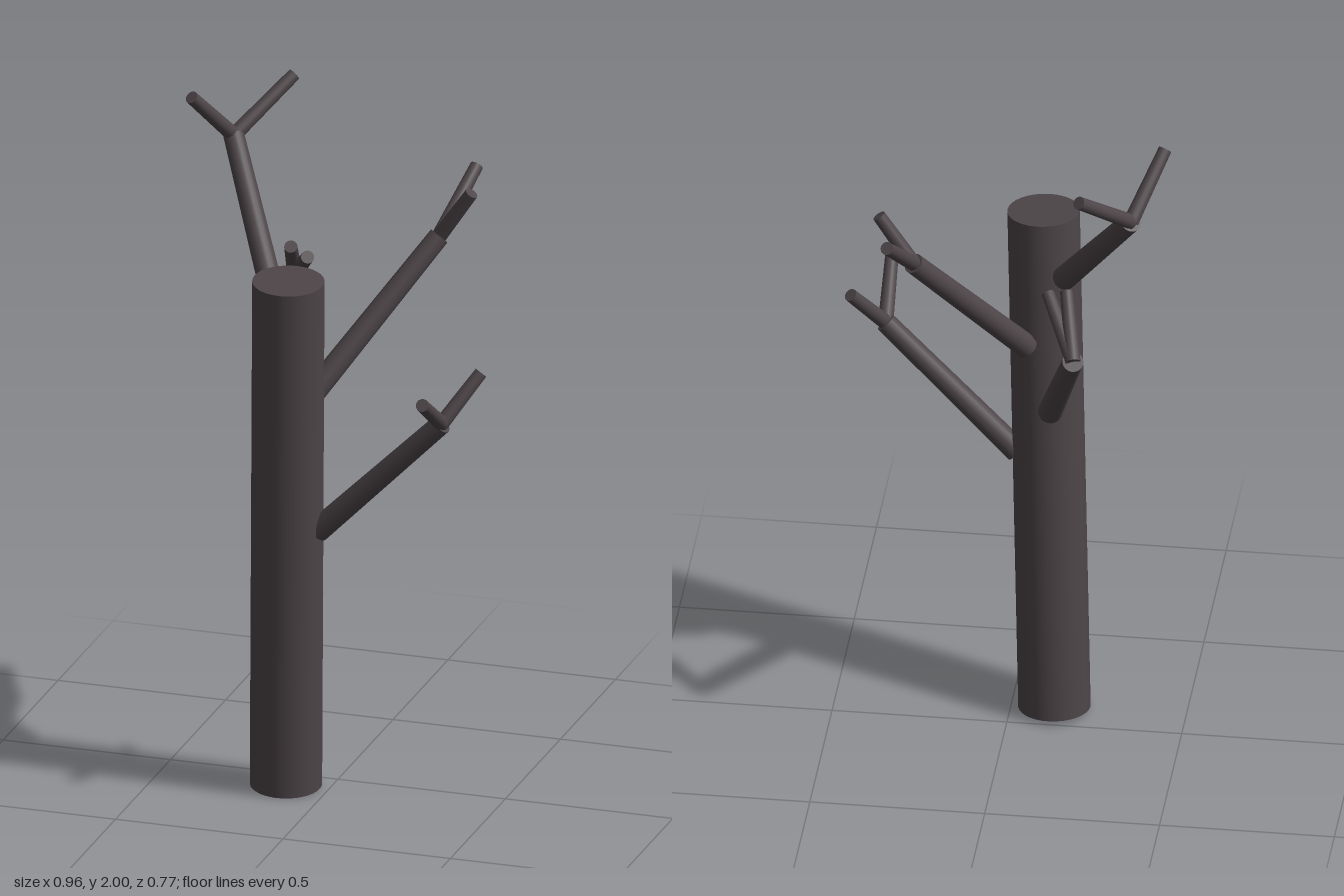
import * as THREE from 'three';

// Capped, slightly tapered limb running between two points
function limb(name, from, to, r0, r1, sides, material) {
  const a = new THREE.Vector3(...from);
  const b = new THREE.Vector3(...to);
  const dir = b.clone().sub(a);
  const mesh = new THREE.Mesh(new THREE.CylinderGeometry(r1, r0, dir.length(), sides), material);
  mesh.name = name;
  mesh.position.copy(a).add(b).multiplyScalar(0.5);
  mesh.quaternion.setFromUnitVectors(new THREE.Vector3(0, 1, 0), dir.normalize());
  return mesh;
}

export function createModel() {
  const tree = new THREE.Group();
  tree.name = 'deadTree';
  const bark = new THREE.MeshStandardMaterial({ color: 0x4d4548 });
  bark.name = 'dark bark';

  // Leaning trunk
  tree.add(limb('trunk', [-0.124, 0.008, 0.095], [-0.078, 1.58, 0.213], 0.103, 0.103, 32, bark));

  // Each branch: base on the trunk, fork point, and the tips of its two twigs
  const branches = [
    { name: 'lowLeftBranch', base: [-0.01, 0.81, 0.155], fork: [0.37, 1.19, 0.185],
      tips: [[0.375, 1.315, 0.375], [0.46, 1.325, 0.1]] },
    { name: 'backBranch', base: [-0.115, 1.0, 0.07], fork: [-0.227, 1.4, -0.3],
      tips: [[-0.19, 1.54, -0.15], [-0.135, 1.52, -0.135]] },
    { name: 'backLeftBranch', base: [-0.045, 1.2, 0.09], fork: [0.245, 1.615, -0.175],
      tips: [[0.298, 1.77, -0.355], [0.345, 1.76, -0.165]] },
    { name: 'highRightBranch', base: [-0.153, 1.435, 0.09], fork: [-0.383, 1.83, -0.22],
      tips: [[-0.253, 1.975, -0.373], [-0.462, 1.988, -0.075]] },
  ];
  for (const { name, base, fork, tips } of branches) {
    const group = new THREE.Group();
    group.name = name;
    group.add(limb('branch', base, fork, 0.035, 0.03, 20, bark));
    for (const tip of tips) group.add(limb('twig', fork, tip, 0.022, 0.019, 16, bark));
    tree.add(group);
  }
  return tree;
}
